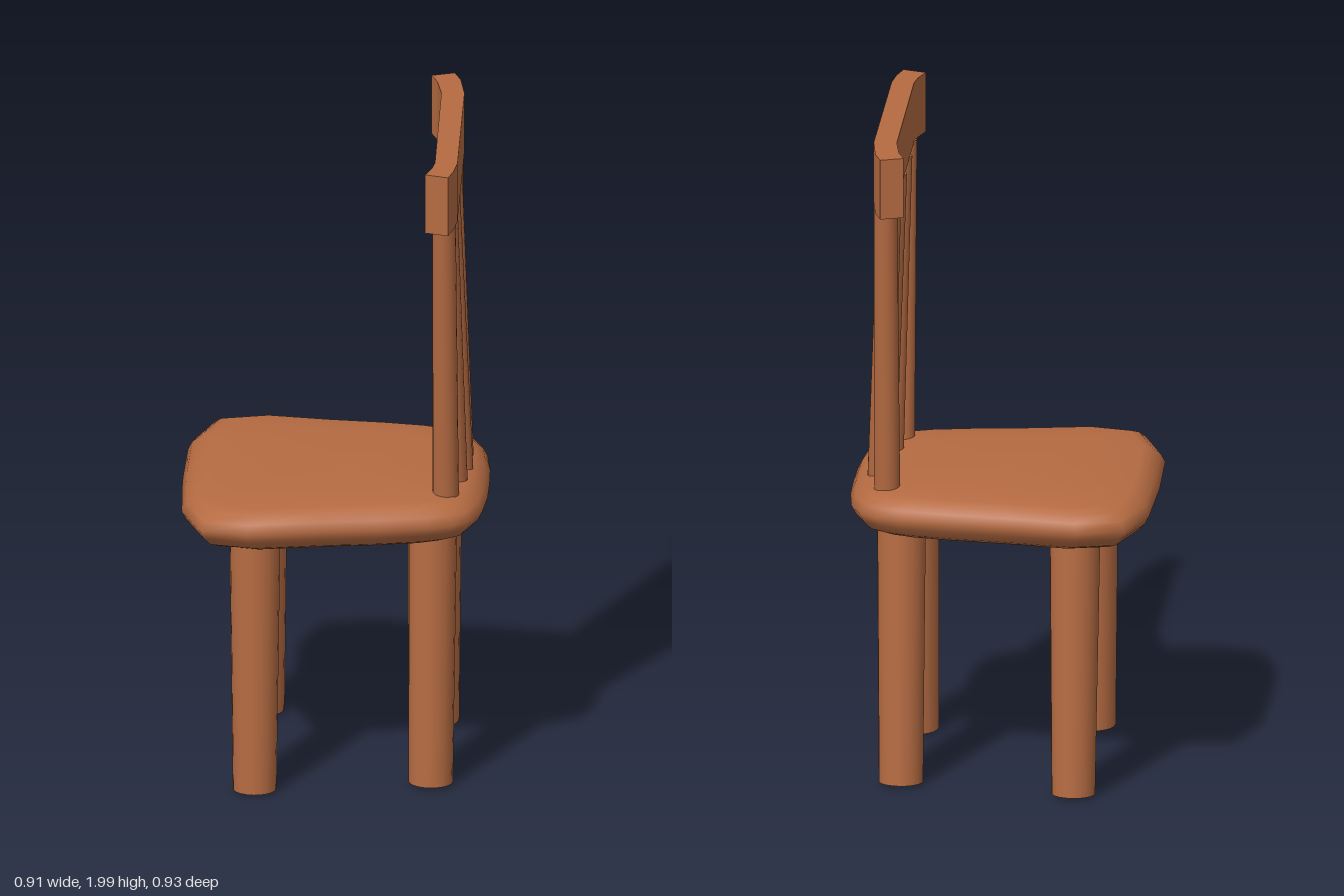
import * as THREE from 'three';

const wood = new THREE.MeshStandardMaterial({ color: 0xb56b42 });
const V = (x, y, z) => new THREE.Vector3(x, y, z);

// Tapered round rod between two points
function rod(name, bottom, top, rBottom, rTop) {
  const dir = top.clone().sub(bottom);
  const mesh = new THREE.Mesh(new THREE.CylinderGeometry(rTop, rBottom, dir.length(), 20), wood);
  mesh.name = name;
  mesh.position.copy(bottom).add(top).multiplyScalar(0.5);
  mesh.quaternion.setFromUnitVectors(V(0, 1, 0), dir.normalize());
  return mesh;
}

// Cushion-like seat: one plan outline, scaled ring by ring from underside to top
function seatGeometry() {
  const half = [[0.455, 0.12], [0.443, 0.24], [0.41, 0.325], [0.36, 0.36], [0.29, 0.385], [0.15, 0.41],
    [-0.04, 0.432], [-0.25, 0.466], [-0.39, 0.434], [-0.45, 0.265]];
  const outline = [[0.457, 0], ...half, [-0.457, 0], ...half.slice().reverse().map(([x, z]) => [x, -z])];
  const rings = [[0, 0.776], [0.6, 0.78], [0.86, 0.793], [0.92, 0.806], [0.97, 0.832], [1, 0.86],
    [0.97, 0.887], [0.92, 0.908], [0.86, 0.92], [0.6, 0.933], [0, 0.937]];
  const n = outline.length, pos = [], index = [];
  for (const [s, y] of rings) {
    for (const [x, z] of outline) pos.push(x * s, y, z * s);
  }
  for (let r = 0; r < rings.length - 1; r++) {
    for (let j = 0; j < n; j++) {
      const a = r * n + j, b = r * n + (j + 1) % n, c = a + n, d = b + n;
      if (r < rings.length - 2) index.push(a, c, b + 0, b, c, d);
      else index.push(a, c, b);
    }
  }
  const g = new THREE.BufferGeometry();
  g.setAttribute('position', new THREE.Float32BufferAttribute(pos, 3));
  g.setIndex(index);
  g.computeVertexNormals();
  // The poles are flat
  const normal = g.attributes.normal;
  for (let j = 0; j < n; j++) {
    normal.setXYZ(j, 0, -1, 0);
    normal.setXYZ((rings.length - 1) * n + j, 0, 1, 0);
  }
  return g;
}

export function createModel() {
  const chair = new THREE.Group();
  chair.name = 'chair';

  const seat = new THREE.Mesh(seatGeometry(), wood);
  seat.name = 'seat';
  chair.add(seat);

  // Splayed legs; the seat's front edge lies toward -x
  chair.add(
    rod('frontLegA', V(-0.23, 0.012, 0.34), V(-0.23, 0.84, 0.313), 0.065, 0.076),
    rod('frontLegB', V(-0.23, 0.012, -0.345), V(-0.23, 0.84, -0.287), 0.065, 0.076),
    rod('backLegA', V(0.291, 0.012, 0.263), V(0.295, 0.84, 0.223), 0.066, 0.073),
    rod('backLegB', V(0.291, 0.012, -0.272), V(0.295, 0.84, -0.21), 0.066, 0.073),
  );

  // Fanned back spindles: z at the bottom, z at the top, x at the bottom
  const spindles = [[0.24, 0.337, 0.335], [0.116, 0.183, 0.357], [0.01, 0.01, 0.37],
    [-0.105, -0.178, 0.367], [-0.243, -0.316, 0.335]];
  spindles.forEach(([zb, zt, xb], i) => {
    chair.add(rod('spindle' + (i + 1), V(xb, 0.9, zb), V(0.333, 1.82, zt), 0.039, 0.035));
  });

  // Top rail, bent toward the front at both ends
  const plan = [[0.27, -0.413], [0.289, -0.36], [0.304, -0.265], [0.306, 0.33], [0.298, 0.38], [0.28, 0.433],
    [0.349, 0.456], [0.364, 0.4], [0.373, 0.33], [0.373, -0.265], [0.358, -0.379], [0.338, -0.437]];
  const shape = new THREE.Shape(plan.map(([x, z]) => new THREE.Vector2(x, -z)));
  const railGeometry = new THREE.ExtrudeGeometry(shape, { depth: 0.185, bevelEnabled: false });
  railGeometry.rotateX(-Math.PI / 2);
  const rail = new THREE.Mesh(railGeometry, wood);
  rail.name = 'topRail';
  rail.position.y = 1.815;
  chair.add(rail);

  return chair;
}
